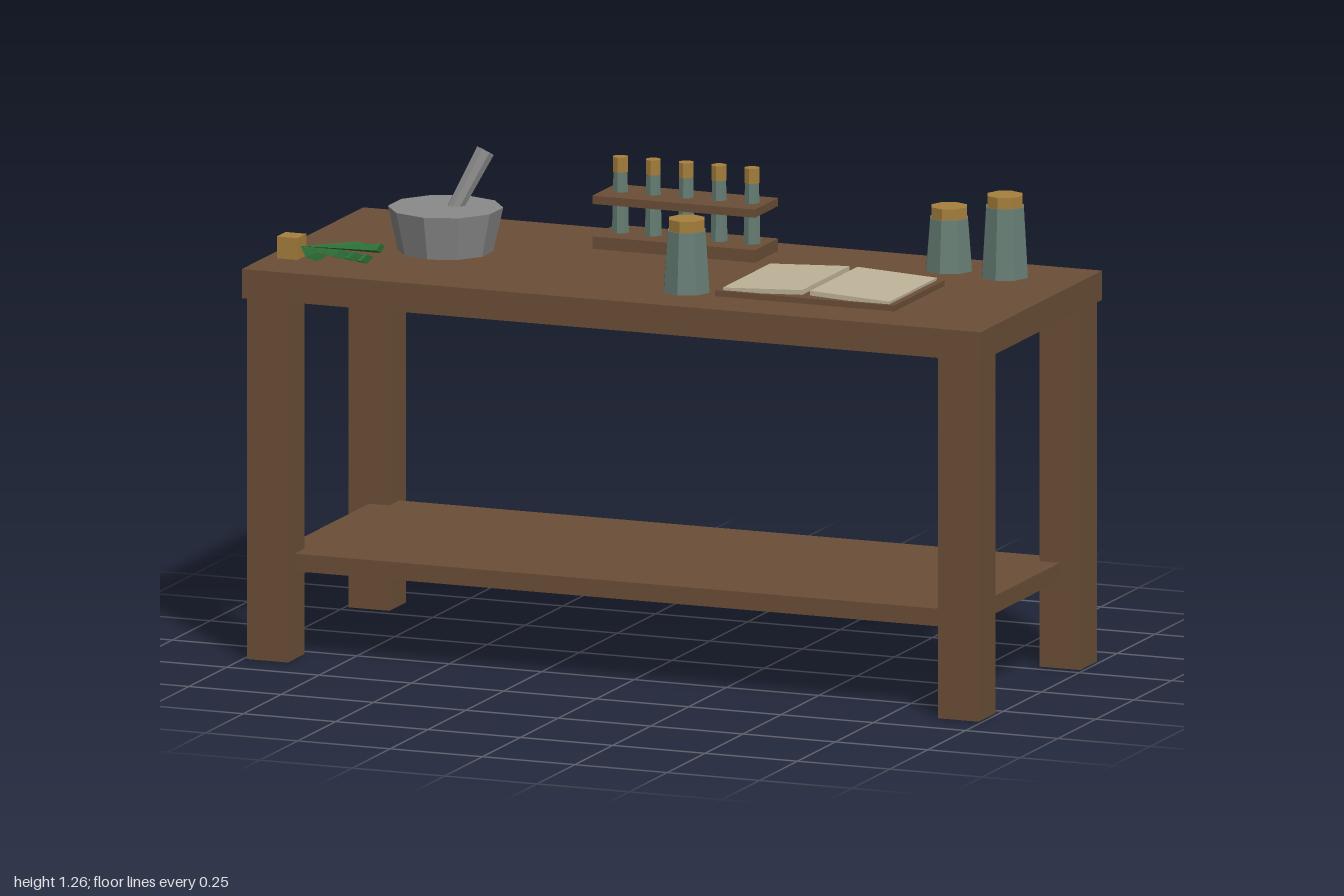
import * as THREE from 'three';

const mat = (name, color) => {
  const m = new THREE.MeshStandardMaterial({ color });
  m.name = name;
  return m;
};

export function createModel() {
  const wood = mat('wood', 0x6b4f37);
  const glass = mat('greenGlass', 0x667d74);
  const cork = mat('cork', 0xa67f3c);
  const stone = mat('stone', 0x8a8a8a);
  const paper = mat('paper', 0xbfb49a);
  const leafGreen = mat('leafGreen', 0x2c7038);

  const root = new THREE.Group();
  root.name = 'workbench';

  const group = (name) => {
    const g = new THREE.Group();
    g.name = name;
    root.add(g);
    return g;
  };
  const add = (parent, name, geo, material, x, y, z) => {
    const mesh = new THREE.Mesh(geo, material);
    mesh.name = name;
    mesh.position.set(x, y, z);
    parent.add(mesh);
    return mesh;
  };
  // Box given by its ranges on each axis
  const box = (parent, name, material, [x0, x1], [y0, y1], [z0, z1]) =>
    add(parent, name, new THREE.BoxGeometry(x1 - x0, y1 - y0, z1 - z0), material,
      (x0 + x1) / 2, (y0 + y1) / 2, (z0 + z1) / 2);
  // Separate faces so every facet stays flat
  const faceted = (geo) => {
    const flat = geo.toNonIndexed();
    flat.computeVertexNormals();
    return flat;
  };
  const tapered = (rTop, rBottom, h, sides) =>
    faceted(new THREE.CylinderGeometry(rTop, rBottom, h, sides));

  // Table
  const table = group('table');
  box(table, 'tableTop', wood, [-1, 1], [0.925, 1], [-0.4, 0.4]);
  box(table, 'lowerShelf', wood, [-0.935, 0.935], [0.225, 0.27], [-0.345, 0.345]);
  for (const x of [-0.935, 0.935])
    for (const z of [-0.335, 0.335])
      box(table, 'leg', wood, [x - 0.055, x + 0.055], [0, 0.925], [z - 0.055, z + 0.055]);

  // Mortar and pestle
  const mortar = group('mortarAndPestle');
  add(mortar, 'mortar', tapered(0.145, 0.12, 0.112, 10), stone, -0.613, 1.056, 0);
  const low = new THREE.Vector3(-0.63, 1.03, 0.002);
  const high = new THREE.Vector3(-0.535, 1.247, -0.072);
  const axis = high.clone().sub(low);
  const mid = low.clone().add(high).multiplyScalar(0.5);
  const pestle = add(mortar, 'pestle', tapered(0.025, 0.018, axis.length(), 8), stone, mid.x, mid.y, mid.z);
  pestle.quaternion.setFromUnitVectors(new THREE.Vector3(0, 1, 0), axis.normalize());

  // Vial rack
  const rack = group('vialRack');
  box(rack, 'rackBase', wood, [-0.28, 0.16], [1, 1.032], [-0.31, -0.157]);
  box(rack, 'rackPlate', wood, [-0.28, 0.16], [1.115, 1.136], [-0.31, -0.157]);
  for (let i = 0; i < 5; i++) {
    const x = -0.236 + i * 0.089;
    add(rack, 'vial', tapered(0.019, 0.023, 0.16, 8), glass, x, 1.107, -0.235);
    add(rack, 'vialCork', tapered(0.02, 0.02, 0.038, 8), cork, x, 1.206, -0.235);
  }

  // Stoppered jars: x, z, shoulder height
  for (const [x, z, h] of [[0.13, 0.22, 0.157], [0.64, -0.268, 0.134], [0.8, -0.247, 0.18]]) {
    const jar = group('jar');
    add(jar, 'jarBody', tapered(0.051, 0.062, h, 8), glass, x, 1 + h / 2, z);
    add(jar, 'jarCork', tapered(0.048, 0.048, 0.03, 8), cork, x, 1 + h + 0.014, z);
  }

  // Open book, pages rising toward the spine
  const book = group('openBook');
  box(book, 'cover', wood, [0.22, 0.705], [1, 1.015], [-0.08, 0.252]);
  for (const side of [-1, 1]) {
    const page = add(book, 'pages', new THREE.BoxGeometry(0.215, 0.012, 0.312), paper,
      0.4625 + side * 0.118, 1.021, 0.086);
    page.rotation.z = -side * 0.05;
  }

  // Tied herb bundle
  const herbs = group('herbBundle');
  box(herbs, 'binding', cork, [-0.968, -0.912], [1, 1.056], [0.19, 0.248]);
  const leaves = [[0.62, 0.15], [0.33, 0.16], [0.02, 0.215], [-0.2, 0.2], [-0.38, 0.19], [-0.56, 0.18], [-0.8, 0.11]];
  leaves.forEach(([angle, length], i) => {
    const geo = new THREE.ConeGeometry(0.03, length, 4);
    geo.translate(0, -length / 2, 0);
    geo.rotateZ(Math.PI / 2);
    geo.scale(1, 0.4, 1);
    const leaf = add(herbs, 'leaf', faceted(geo), leafGreen, -0.915, 1.03, 0.22);
    leaf.rotation.set(0, angle, (i % 3 - 1) * 0.05);
  });

  return root;
}
